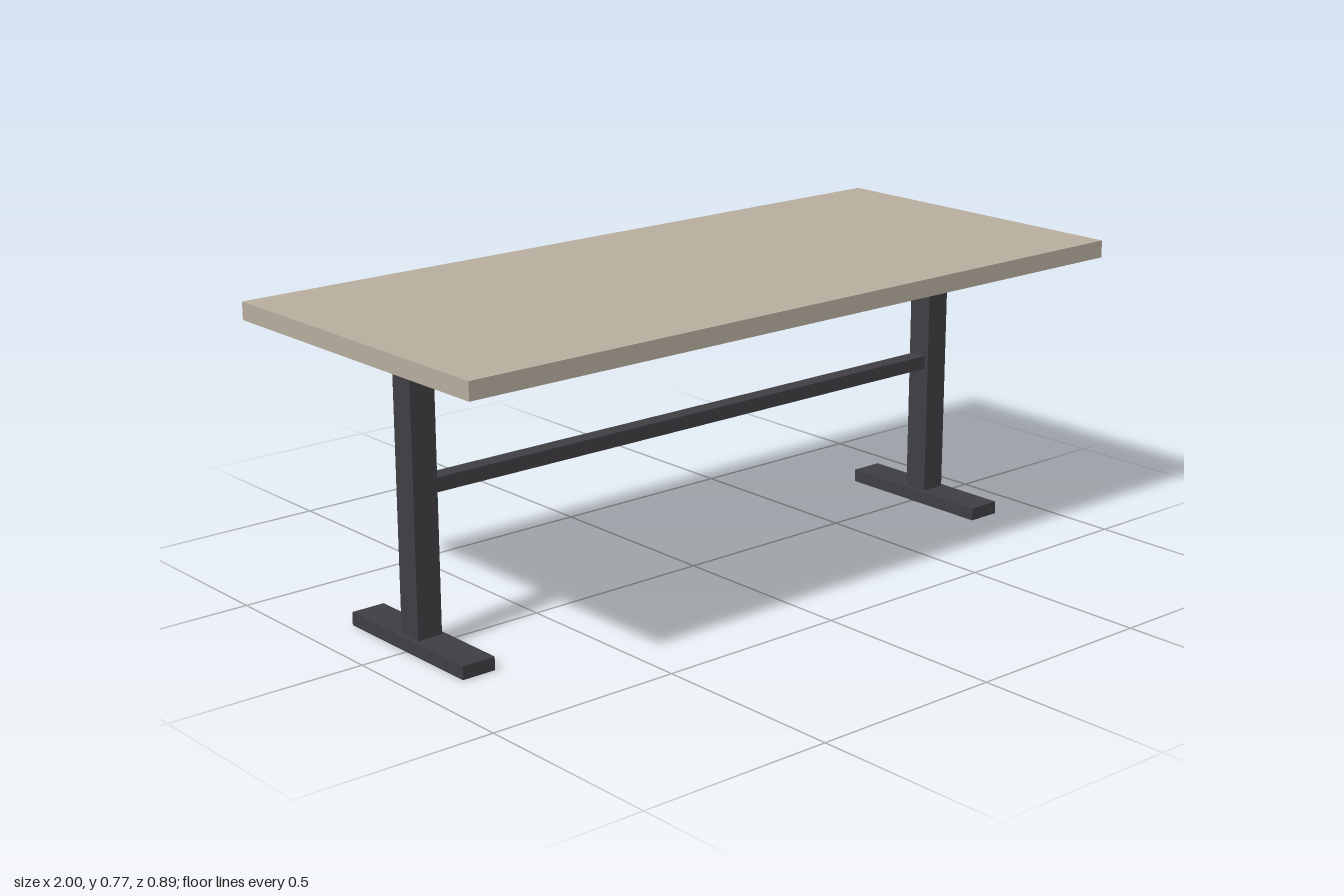
import * as THREE from 'three';

export function createModel() {
  const model = new THREE.Group();
  const wood = new THREE.MeshStandardMaterial({ color: 0xb8ad9f });
  const steel = new THREE.MeshStandardMaterial({ color: 0x3f3e43 });
  const trayGrey = new THREE.MeshStandardMaterial({ color: 0x525252 });

  // Box given by its size, bottom height and centre in x and z
  function addBox(name, material, [w, h, d], bottom, x = 0, z = 0) {
    const mesh = new THREE.Mesh(new THREE.BoxGeometry(w, h, d), material);
    mesh.name = name;
    mesh.position.set(x, bottom + h / 2, z);
    model.add(mesh);
  }

  const footHeight = 0.0333;
  const topBottom = 0.7244;
  const legX = 0.8333;
  const legWidth = 0.0667;

  // Table top
  addBox('tableTop', wood, [2, 0.0444, 0.8889], topBottom);

  // Mirrored T-shaped legs
  for (const [side, s] of [['left', 1], ['right', -1]]) {
    addBox(side + 'Foot', steel, [0.0889, footHeight, 0.4444], 0, s * legX);
    addBox(side + 'Leg', steel, [legWidth, topBottom - footHeight, legWidth], footHeight, s * legX);
  }

  // Crossbar between the inner faces of the legs
  addBox('crossbar', steel, [2 * legX - legWidth, 0.0356, 0.0444], 0.375);

  // Cable tray hanging below the back of the top
  addBox('cableTray', trayGrey, [0.5556, 0.0333, 0.1111], 0.6511, 0, -0.3111);

  return model;
}
